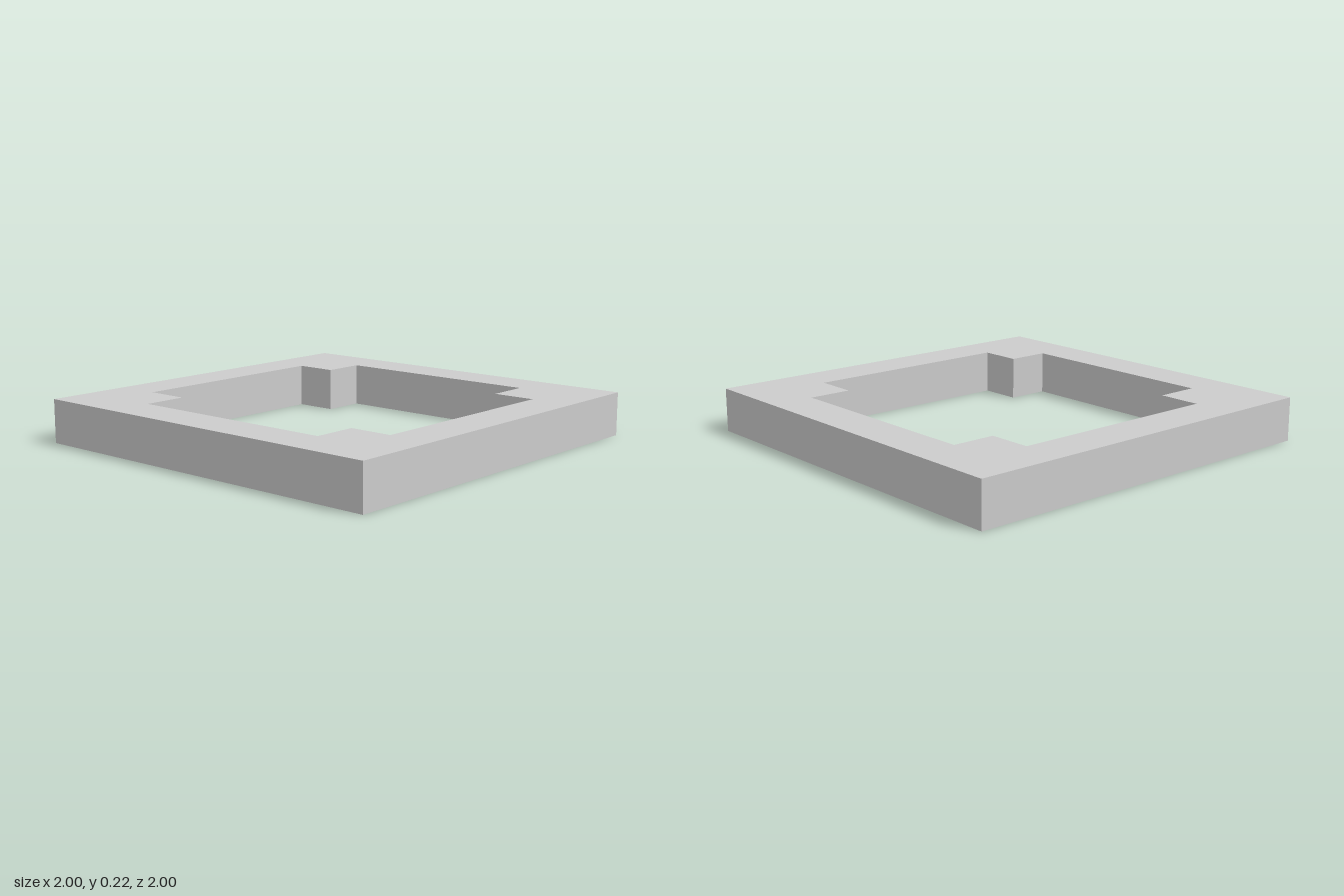
import * as THREE from 'three';

const HALF = 1;         // outer half width
const INNER = 7 / 9;    // half width of the opening
const NOTCH = 5 / 9;    // inner edge of the corner blocks
const HEIGHT = 2 / 9;

export function createModel() {
  const group = new THREE.Group();
  group.name = 'squareFrame';

  // Outer square
  const outline = new THREE.Shape([
    new THREE.Vector2(-HALF, -HALF),
    new THREE.Vector2(HALF, -HALF),
    new THREE.Vector2(HALF, HALF),
    new THREE.Vector2(-HALF, HALF),
  ]);

  // Cross-shaped opening: one stepped corner turned four times
  const corner = [[INNER, NOTCH], [NOTCH, NOTCH], [NOTCH, INNER]];
  const points = [];
  for (let i = 0; i < 4; i++) {
    for (const [x, y] of corner) {
      points.push(new THREE.Vector2(x, y).rotateAround(new THREE.Vector2(), i * Math.PI / 2));
    }
  }
  outline.holes.push(new THREE.Path(points));

  // Lay the extrusion flat, standing on the ground
  const geometry = new THREE.ExtrudeGeometry(outline, { depth: HEIGHT, bevelEnabled: false });
  geometry.rotateX(-Math.PI / 2);

  const frame = new THREE.Mesh(
    geometry,
    new THREE.MeshStandardMaterial({ color: 0xcccccc, flatShading: true })
  );
  frame.name = 'frame';
  group.add(frame);
  return group;
}
